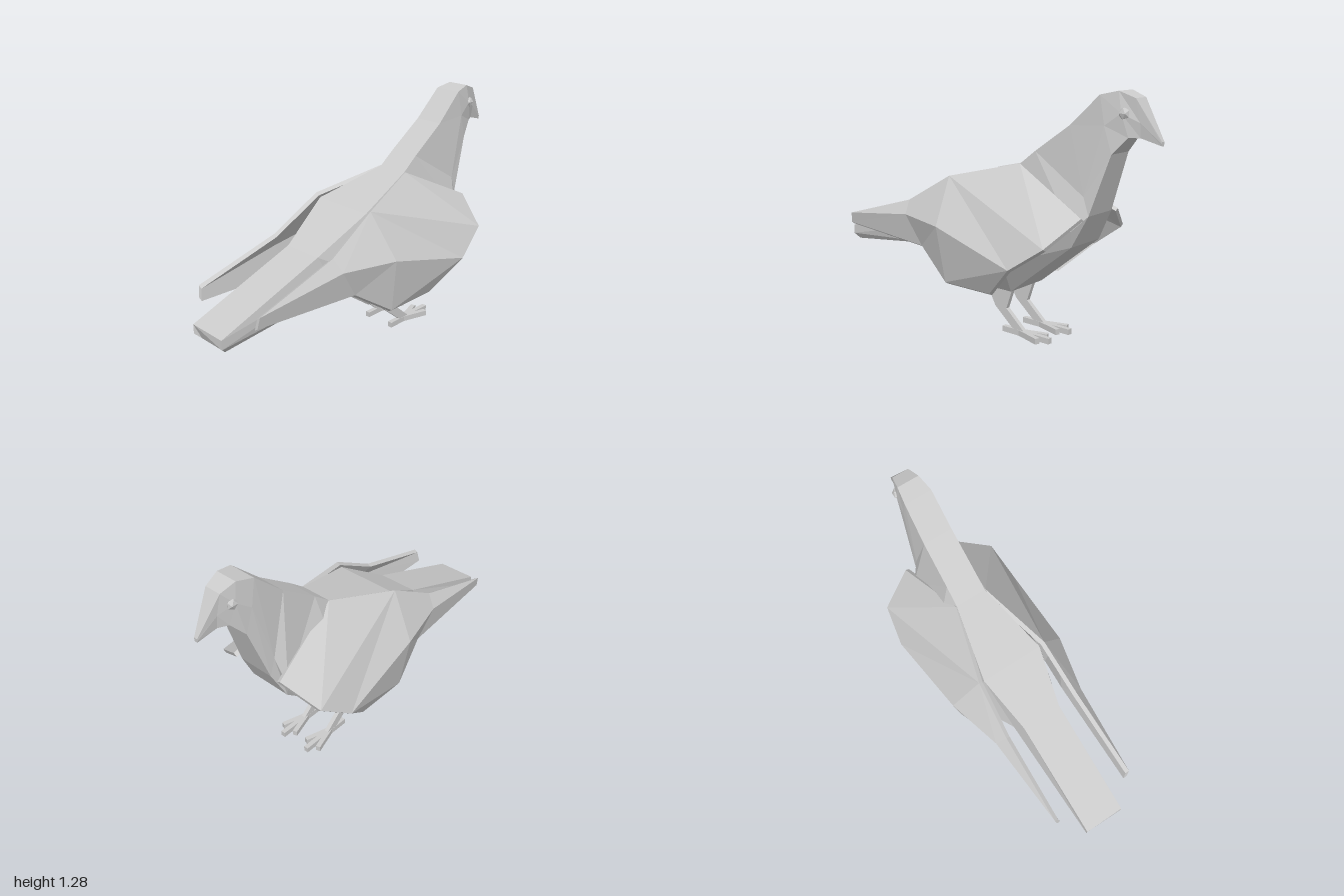
import * as THREE from 'three';

const material = new THREE.MeshStandardMaterial({ color: 0xcccccc, flatShading: true });

// Mesh from corner points and polygons (fan-split); side = -1 mirrors it in x
function polyMesh(name, points, polys, side = 1) {
  const pos = [];
  for (const p of polys) {
    for (let i = 1; i < p.length - 1; i++) {
      const tri = side > 0 ? [p[0], p[i], p[i + 1]] : [p[0], p[i + 1], p[i]];
      for (const k of tri) pos.push(points[k][0] * side, points[k][1], points[k][2]);
    }
  }
  const g = new THREE.BufferGeometry();
  g.setAttribute('position', new THREE.Float32BufferAttribute(pos, 3));
  g.computeVertexNormals();
  const mesh = new THREE.Mesh(g, material);
  mesh.name = name;
  return mesh;
}

// Body, neck and head: symmetric six-point sections, each given as top, side and bottom corner
function makeBody() {
  const sections = [
    [[0.11, 0.40, 1.00], [0.11, 0.35, 1.00], [0.09, 0.32, 0.97]],     // tail end
    [[0.11, 0.62, 0.40], [0.13, 0.50, 0.34], [0.11, 0.40, 0.28]],     // rump
    [[0.17, 0.79, 0.12], [0.25, 0.42, 0.06], [0.13, 0.24, 0.06]],     // back and belly
    [[0.085, 0.90, -0.26], [0.25, 0.42, -0.28], [0.13, 0.24, -0.24]], // shoulders
    [[0.083, 0.97, -0.35], [0.15, 0.62, -0.62], [0.12, 0.53, -0.60]], // breast
    [[0.08, 1.11, -0.55], [0.10, 0.78, -0.65], [0.10, 0.69, -0.68]],  // neck base
    [[0.075, 1.26, -0.71], [0.08, 1.12, -0.74], [0.075, 0.99, -0.78]], // throat
    [[0.06, 1.28, -0.80], [0.068, 1.18, -0.82], [0.05, 1.07, -0.85]], // crown
    [[0.045, 1.25, -0.88], [0.035, 1.14, -0.90], [0.025, 1.07, -0.90]], // beak base
    [[0.01, 1.06, -1.00], [0.01, 1.05, -1.00], [0.008, 1.04, -1.00]], // beak tip
  ];
  const points = [];
  for (const s of sections) {
    points.push(...s, ...[...s].reverse().map(([x, y, z]) => [-x, y, z]));
  }
  const polys = [[5, 4, 3, 2, 1, 0]];
  for (let k = 0; k < sections.length - 1; k++) {
    for (let i = 0; i < 6; i++) {
      const a = k * 6 + i, b = k * 6 + (i + 1) % 6;
      polys.push([a, b, b + 6, a + 6]);
    }
  }
  const end = (sections.length - 1) * 6;
  polys.push([0, 1, 2, 3, 4, 5].map((i) => end + i));
  return polyMesh('body', points, polys);
}

// Folded wing: faceted outer shell, an inner copy and a rim between them
function makeWing(side) {
  const outer = [
    [0.09, 0.90, -0.26], [0.20, 0.81, 0.12], [0.22, 0.65, 0.40],   // 0-2 upper edge
    [0.235, 0.515, 0.87], [0.225, 0.455, 0.88],                    // 3-4 tip
    [0.25, 0.42, 0.28], [0.30, 0.27, 0.06], [0.30, 0.27, -0.24],   // 5-7 lower edge
    [0.38, 0.44, -0.42], [0.345, 0.565, -0.60], [0.16, 0.69, -0.68], // 8-10 leading edge
    [0.345, 0.57, 0.08], [0.27, 0.58, 0.38],                       // 11-12 ridge
  ];
  const n = outer.length, rim = 11;
  const faces = [
    [0, 1, 9, 10], [1, 11, 8, 9], [1, 2, 12, 11], [2, 3, 12],
    [12, 3, 4], [12, 4, 5], [11, 12, 5, 6], [8, 11, 6, 7],
  ];
  const inner = outer.map(([x, y, z]) => [x - 0.02, y - 0.012, z]);
  // inner faces start at the same corner so both shells split alike
  const polys = [...faces, ...faces.map((f) => [f[0], ...f.slice(1).reverse()].map((i) => i + n))];
  for (let i = 0; i < rim; i++) {
    const j = (i + 1) % rim;
    polys.push([j, i, i + n, j + n]);
  }
  return polyMesh(side > 0 ? 'leftWing' : 'rightWing', [...outer, ...inner], polys, side);
}

// Leg with a bent side profile, and a foot with three front toes and one back toe
function makeLeg(side) {
  const leg = new THREE.Group();
  leg.name = side > 0 ? 'leftLeg' : 'rightLeg';
  leg.position.x = 0.087 * side;

  const profile = [[-0.04, 0.26], [-0.11, 0.13], [-0.24, 0.02], [-0.31, 0.02], [-0.185, 0.13], [-0.23, 0.26]];
  const shape = new THREE.Shape(profile.map(([z, y]) => new THREE.Vector2(-z, y)));
  const shank = new THREE.ExtrudeGeometry(shape, { depth: 0.024, bevelEnabled: false });
  shank.translate(0, 0, -0.012).rotateY(Math.PI / 2);
  const shankMesh = new THREE.Mesh(shank, material);
  shankMesh.name = 'shank';
  leg.add(shankMesh);

  // each toe: direction angle from straight ahead, length
  const toes = [[0, 0.19], [0.3, 0.15], [-0.3, 0.15], [Math.PI, 0.11]];
  for (const [angle, length] of toes) {
    const g = new THREE.BoxGeometry(0.026, 0.03, length);
    g.translate(0, 0.015, -length / 2).rotateY(angle);
    const toe = new THREE.Mesh(g, material);
    toe.name = 'toe';
    toe.position.z = -0.27;
    leg.add(toe);
  }
  return leg;
}

function makeEye(side) {
  const eye = new THREE.Mesh(new THREE.IcosahedronGeometry(0.03, 0), material);
  eye.name = side > 0 ? 'leftEye' : 'rightEye';
  eye.scale.x = 0.7;
  eye.position.set(0.06 * side, 1.18, -0.83);
  return eye;
}

export function createModel() {
  const bird = new THREE.Group();
  bird.name = 'bird';
  bird.add(makeBody());
  for (const side of [1, -1]) bird.add(makeWing(side), makeLeg(side), makeEye(side));
  return bird;
}
